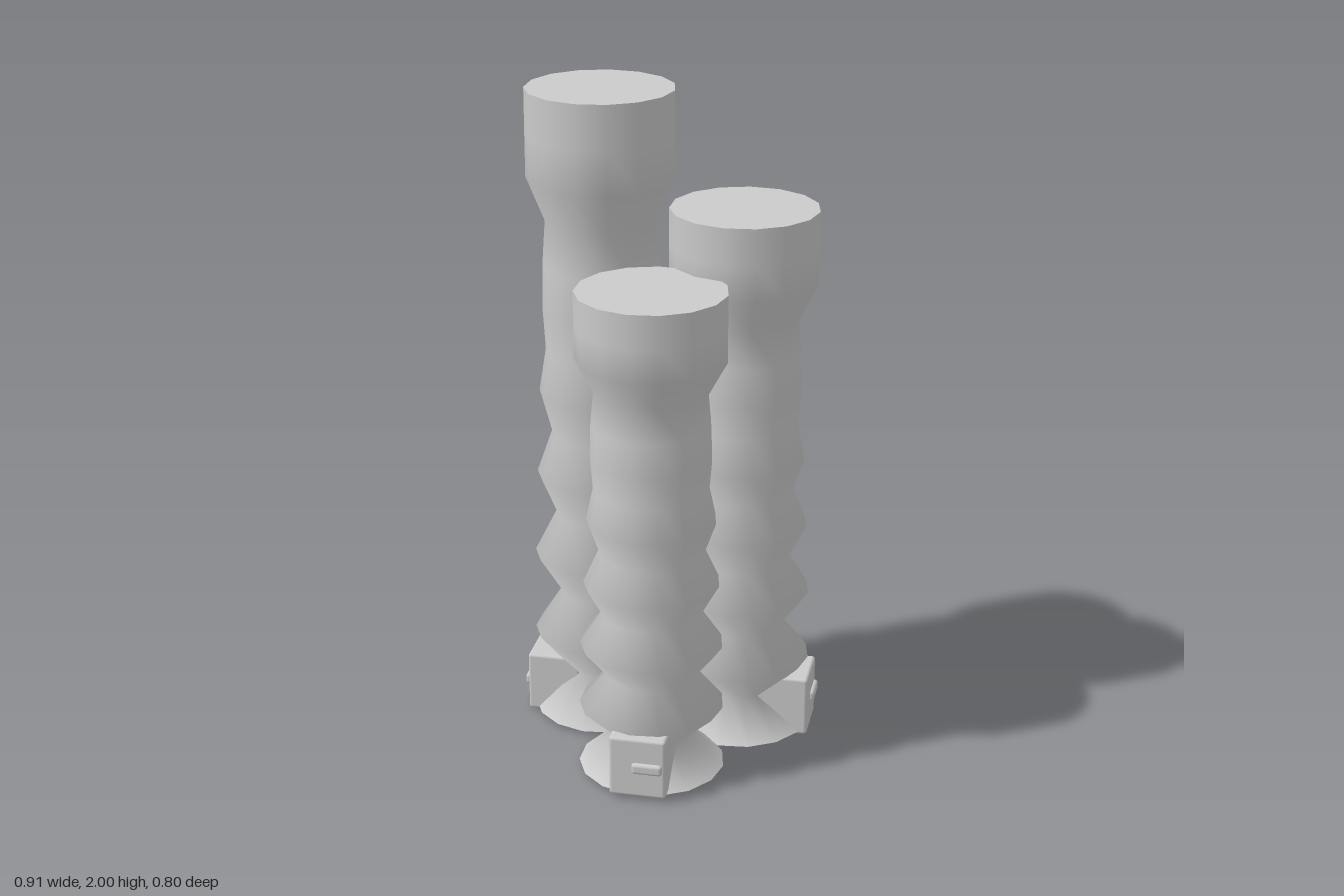
import * as THREE from 'three';
import { RoundedBoxGeometry } from 'three/addons/geometries/RoundedBoxGeometry.js';

const SIDES = 15;
const BASE = 0.012;

// Radii at evenly spaced heights: bellows that fade towards a flared collar
const RADII = [0.22, 0.11, 0.217, 0.132, 0.213, 0.146, 0.202, 0.156,
  0.191, 0.17, 0.178, 0.175, 0.166, 0.22, 0.22, 0.22];

const material = new THREE.MeshStandardMaterial({ color: 0xcccccc });

function addMesh(parent, name, geometry, x = 0, y = 0, z = 0) {
  const mesh = new THREE.Mesh(geometry, material);
  mesh.name = name;
  mesh.position.set(x, y, z);
  parent.add(mesh);
  return mesh;
}

// One ribbed column with flat ends, a vertex of its polygon facing +x
function createColumn(height) {
  const column = new THREE.Group();
  const step = height / (RADII.length - 1);
  const profile = RADII.map((r, i) => new THREE.Vector2(r, i * step));
  addMesh(column, 'bellowsTube', new THREE.LatheGeometry(profile, SIDES, Math.PI / 2), 0, BASE, 0);
  const cap = new THREE.CircleGeometry(RADII[0], SIDES);
  addMesh(column, 'topCap', cap, 0, BASE + height, 0).rotation.x = -Math.PI / 2;
  addMesh(column, 'bottomCap', cap, 0, BASE, 0).rotation.x = Math.PI / 2;
  return column;
}

// Small switch housing set into the foot of a column, facing +z
function createSwitchBox() {
  const box = new THREE.Group();
  box.name = 'switchBox';
  addMesh(box, 'housing', new RoundedBoxGeometry(0.17, 0.192, 0.166, 2, 0.01), 0.004, 0.097, 0.147);
  addMesh(box, 'switchButton', new RoundedBoxGeometry(0.092, 0.034, 0.034, 2, 0.01), 0.034, 0.099, 0.225);
  return box;
}

export function createModel() {
  const model = new THREE.Group();
  model.name = 'tripleColumns';

  // turn: direction the switch box faces; lift: height of the box above ground
  const columns = [
    { name: 'tallColumn', x: -0.218, z: -0.18, top: 2.0, turn: -Math.PI / 2, lift: 0 },
    { name: 'middleColumn', x: 0.21, z: -0.18, top: 1.667, turn: Math.PI / 2, lift: 0 },
    { name: 'shortColumn', x: 0.004, z: 0.157, top: 1.51, turn: 0, lift: 0.011 },
  ];
  for (const { name, x, z, top, turn, lift } of columns) {
    const column = createColumn(top - BASE);
    column.name = name;
    column.position.set(x, 0, z);
    const box = createSwitchBox();
    box.position.y = lift;
    box.rotation.y = turn;
    column.add(box);
    model.add(column);
  }
  return model;
}
